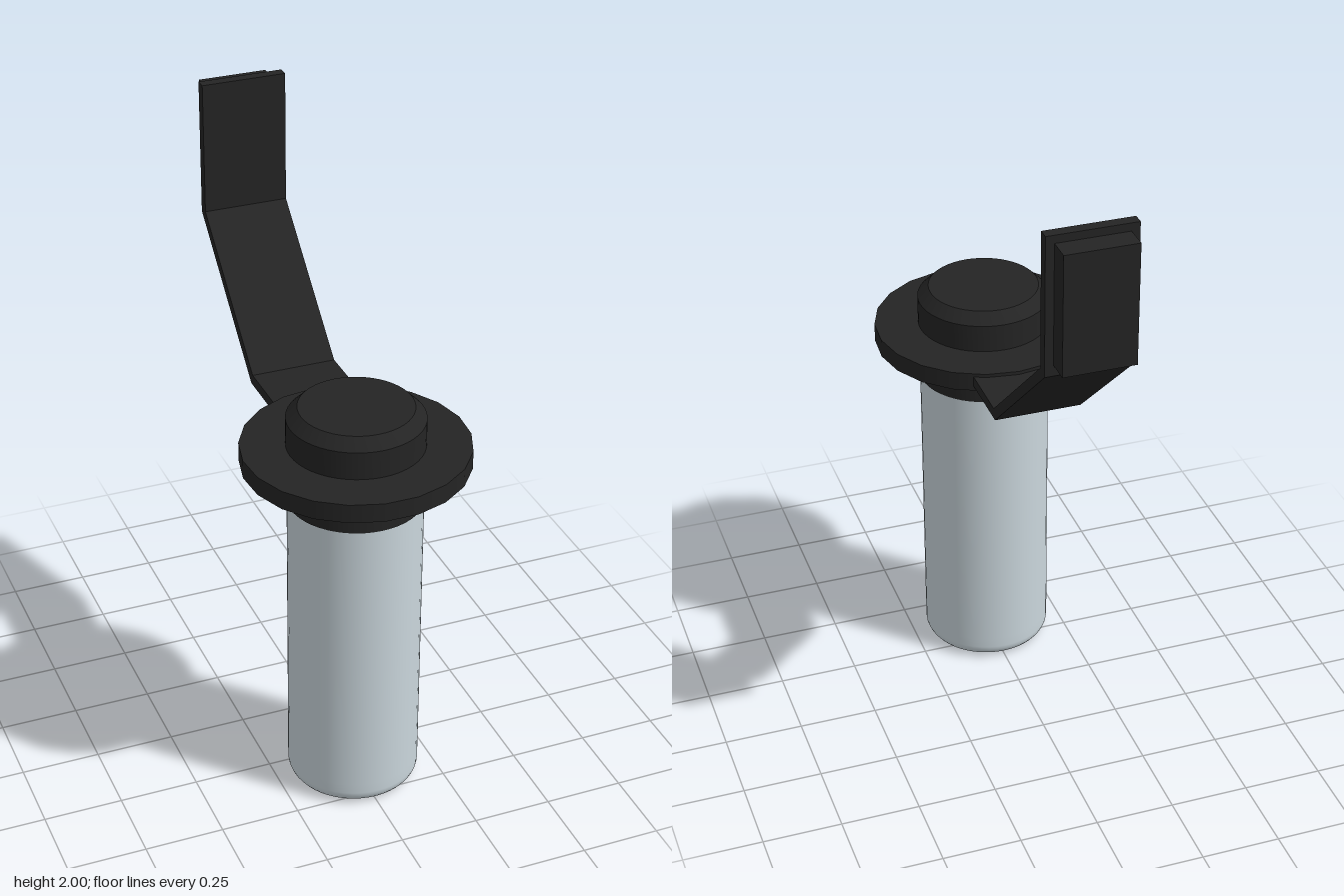
import * as THREE from 'three';
import { toCreasedNormals } from 'three/addons/utils/BufferGeometryUtils.js';

export function createModel() {
  const model = new THREE.Group();
  const silver = new THREE.MeshStandardMaterial({ color: 0xcad6dc });
  silver.name = 'paleSilver';
  const black = new THREE.MeshStandardMaterial({ color: 0x242424 });
  black.name = 'black';
  const axisZ = 0.345;

  const add = (name, geometry, material, x = 0, y = 0, z = 0) => {
    const mesh = new THREE.Mesh(geometry, material);
    mesh.name = name;
    mesh.position.set(x, y, z);
    model.add(mesh);
    return mesh;
  };
  const lathe = (points) =>
    new THREE.LatheGeometry(points.map(([r, y]) => new THREE.Vector2(r, y)), 48);

  // Cylinder body with a rounded bottom edge
  const r = 0.207, round = 0.045;
  const body = [[0, 0], [0.1, 0]];
  for (let i = 0; i <= 6; i++) {
    const a = (i / 6) * Math.PI / 2;
    body.push([r - round + round * Math.sin(a), round - round * Math.cos(a)]);
  }
  body.push([r, 0.08], [r, 1.02]);
  add('body', lathe(body), silver, 0, 0, axisZ);

  // Cap with a chamfered top edge
  const cap = lathe([[0, 1.02], [0.21, 1.02], [0.21, 1.295], [0.175, 1.33], [0, 1.33]]);
  add('cap', toCreasedNormals(cap, 0.5), black, 0, 0, axisZ);

  // Faceted collar disc
  const collar = new THREE.CylinderGeometry(0.349, 0.349, 0.06, 21, 1, false, Math.PI);
  add('collar', collar, black, 0, 1.175, axisZ);

  // Bent strap: side profile (backward distance, height) extruded across the width
  const profile = [
    [-0.03, 1.16], [0.18, 1.16], [0.62, 1.56], [0.62, 2],
    [0.585, 2], [0.585, 1.572], [0.167, 1.194], [-0.03, 1.194],
  ].map(([b, y]) => new THREE.Vector2(b, y));
  const strap = new THREE.ExtrudeGeometry(new THREE.Shape(profile), { depth: 0.274, bevelEnabled: false });
  strap.translate(0, 0, -0.137).rotateY(Math.PI / 2);
  add('bracketStrap', strap, black);

  // Mounting pad behind the upright end of the strap
  add('mountingPad', new THREE.BoxGeometry(0.222, 0.38, 0.074), black, 0, 1.785, -0.656);

  return model;
}
